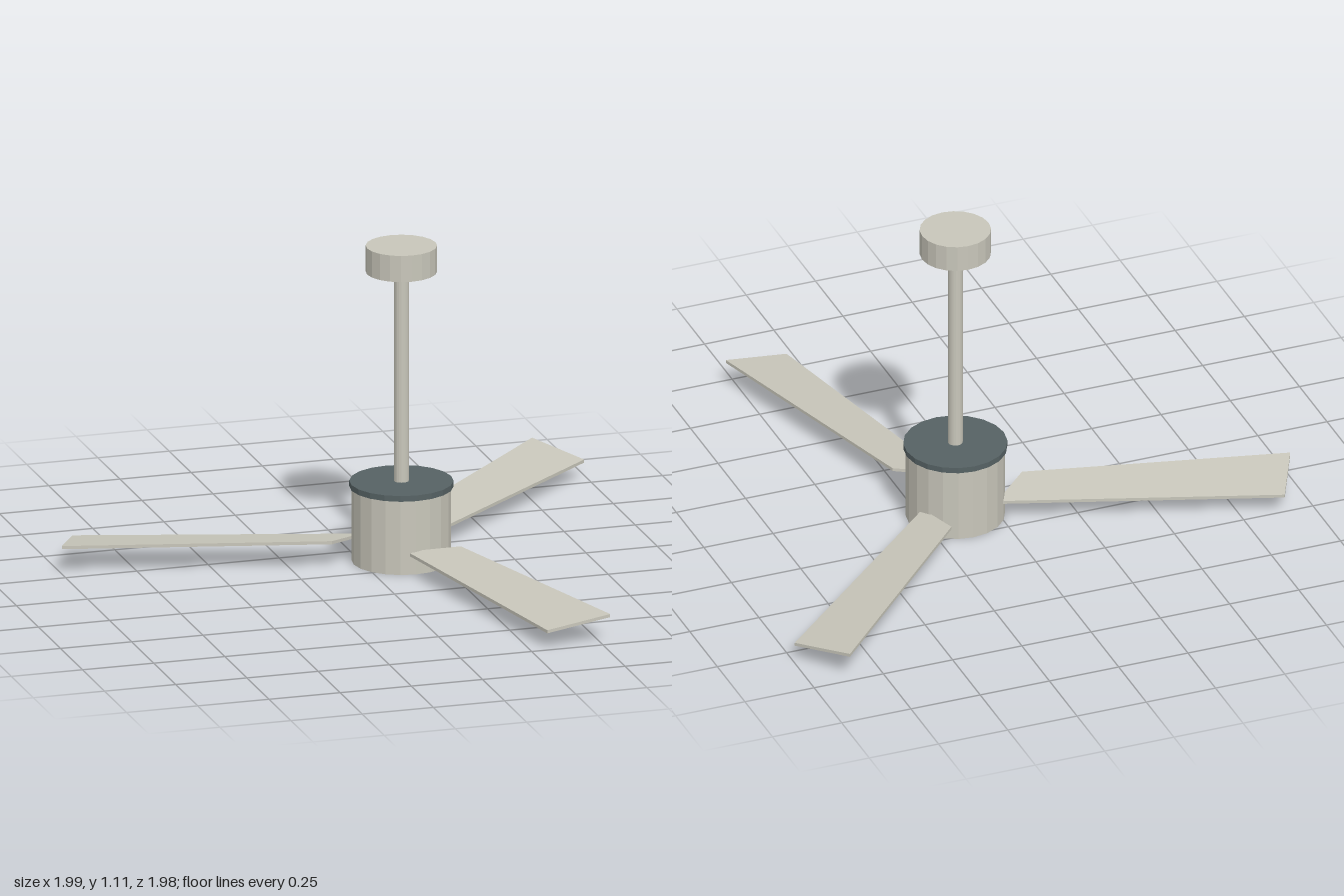
import * as THREE from 'three';

const SIDES = 20;

export function createModel() {
  const model = new THREE.Group();
  model.name = 'ceilingFan';

  const nickel = new THREE.MeshStandardMaterial({ color: 0xc8c6ba, flatShading: true });
  nickel.name = 'warm nickel';
  const slate = new THREE.MeshStandardMaterial({ color: 0x566264, flatShading: true });
  slate.name = 'dark slate';

  // The hub axis sits off the origin because the three blades spread unevenly
  const fan = new THREE.Group();
  fan.name = 'fan';
  fan.position.set(0.134, 0, -0.105);
  model.add(fan);

  // Upright round part between two heights
  const drum = (name, radius, bottom, top, material, sides = SIDES) => {
    const mesh = new THREE.Mesh(
      new THREE.CylinderGeometry(radius, radius, top - bottom, sides), material);
    mesh.name = name;
    mesh.position.y = (bottom + top) / 2;
    fan.add(mesh);
  };
  drum('motorHousing', 0.167, 0, 0.26, nickel);
  drum('housingCap', 0.175, 0.26, 0.28, slate);
  drum('downRod', 0.025, 0.28, 1.015, nickel);
  drum('ceilingCanopy', 0.12, 1.015, 1.107, nickel);

  // Blade: a thin box whose corners are moved to a tapered, pitched outline
  const thickness = 0.011;
  const corners = { // [x, top height, z]
    rootHigh: [0.145, 0.097, 0.205],
    tipHigh: [0.4, 0.097, 1.077],
    tipLow: [0.175, 0.065, 1.091],
    rootLow: [-0.025, 0.076, 0.145],
  };
  const bladeGeometry = new THREE.BoxGeometry(1, 1, 1);
  const p = bladeGeometry.attributes.position;
  for (let i = 0; i < p.count; i++) {
    const key = (p.getZ(i) > 0 ? 'tip' : 'root') + (p.getX(i) > 0 ? 'High' : 'Low');
    const [x, y, z] = corners[key];
    p.setXYZ(i, x, p.getY(i) > 0 ? y : y - thickness, z);
  }
  bladeGeometry.computeVertexNormals();

  for (let i = 0; i < 3; i++) {
    const blade = new THREE.Mesh(bladeGeometry, nickel);
    blade.name = `blade${i + 1}`;
    blade.rotation.y = (i * Math.PI * 2) / 3;
    fan.add(blade);
  }

  return model;
}
